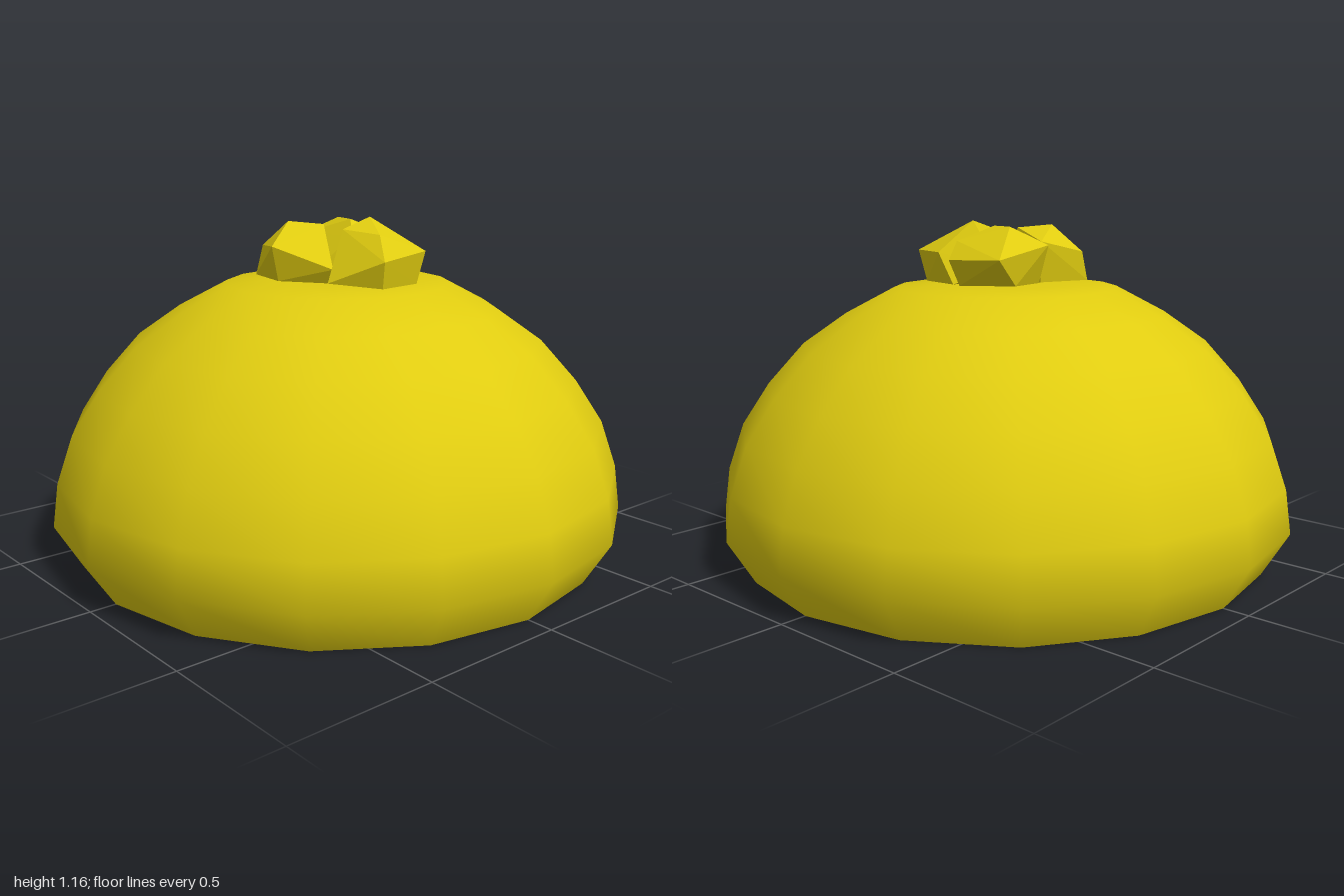
import * as THREE from 'three';
import { ConvexGeometry } from 'three/addons/geometries/ConvexGeometry.js';

const YELLOW = 0xe0cc10;

// Corner points of the three faceted nuggets on top
const NUGGETS = {
  backNugget: [
    [-0.18, 1.05, -0.23], [0.05, 1.04, -0.23], [-0.2, 1.09, -0.01], [-0.17, 0.96, -0.14],
    [0.08, 1.1, -0.16], [0, 1.15, -0.06], [0.05, 1.1, -0.02], [-0.09, 1.15, -0.08],
    [-0.01, 1.0, 0.06], [-0.15, 0.96, 0], [0.05, 0.95, -0.18], [0.03, 0.95, 0],
  ],
  leftNugget: [
    [0.1, 1.165, -0.06], [0.24, 1.12, 0.02], [0.14, 1.06, -0.19], [0.29, 1.06, -0.14],
    [0.31, 1.04, 0.06], [0.13, 0.96, 0.15], [0.29, 0.95, 0.05], [0.27, 0.95, -0.12],
    [0.03, 1.0, 0], [0.1, 1.13, 0.06], [0.1, 0.95, -0.16], [0.08, 0.95, 0.08],
  ],
  frontNugget: [
    [-0.16, 1.1, 0], [-0.2, 0.96, 0.2], [-0.2, 1.06, 0.17], [0, 1.08, 0.28],
    [-0.02, 0.96, 0.24], [0.11, 1.0, 0.11], [-0.08, 1.15, 0.15], [0, 1.14, 0.06],
    [0.08, 0.95, 0.1], [-0.14, 0.96, 0.02], [0, 1.0, 0.03],
  ],
};

export function createModel() {
  const model = new THREE.Group();
  model.name = 'domeWithNuggets';

  // Smooth sixteen-sided shell, open underneath, with a tucked-in rim
  const profile = [
    [0.91, 0], [1, 0.15], [0.98, 0.3], [0.925, 0.46], [0.83, 0.605],
    [0.705, 0.745], [0.555, 0.85], [0.385, 0.94], [0.2, 0.95], [0, 0.953],
  ].map(([r, y]) => new THREE.Vector2(r, y));
  const dome = new THREE.Mesh(
    new THREE.LatheGeometry(profile, 16),
    new THREE.MeshStandardMaterial({ color: YELLOW, side: THREE.DoubleSide }),
  );
  dome.name = 'dome';
  model.add(dome);

  // Low-poly nuggets clustered on the crown
  const facetMaterial = new THREE.MeshStandardMaterial({ color: YELLOW, flatShading: true });
  for (const [name, corners] of Object.entries(NUGGETS)) {
    const points = corners.map((c) => new THREE.Vector3(...c));
    const nugget = new THREE.Mesh(new ConvexGeometry(points), facetMaterial);
    nugget.name = name;
    model.add(nugget);
  }

  return model;
}
